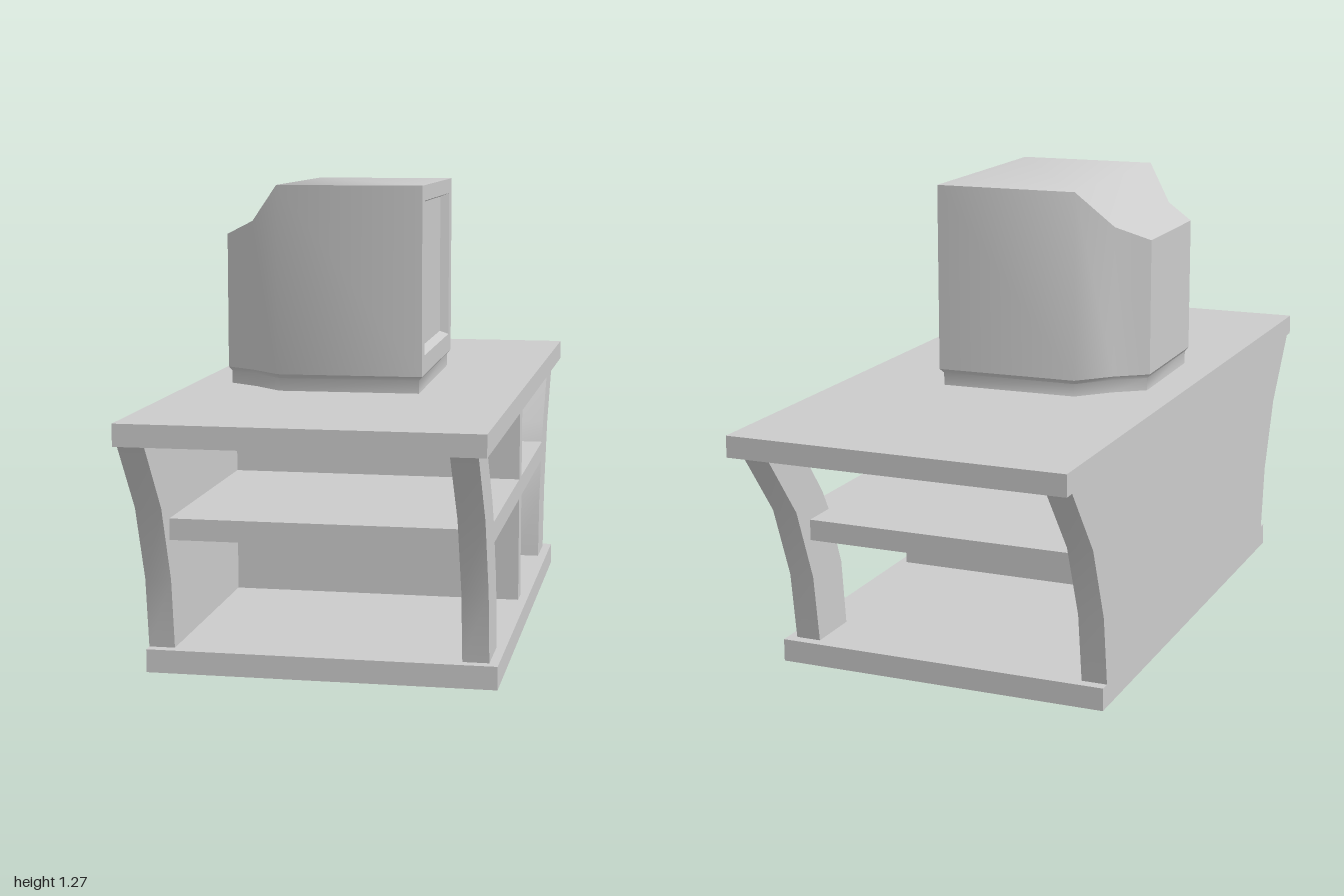
import * as THREE from 'three';
import { toCreasedNormals } from 'three/addons/utils/BufferGeometryUtils.js';

const grey = new THREE.MeshStandardMaterial({ color: 0xcccccc });

function add(parent, name, geometry) {
  const mesh = new THREE.Mesh(geometry, grey);
  mesh.name = name;
  parent.add(mesh);
  return mesh;
}

// Box given by its minimum and maximum corners
function box(parent, name, [x0, y0, z0], [x1, y1, z1]) {
  add(parent, name, new THREE.BoxGeometry(x1 - x0, y1 - y0, z1 - z0))
    .position.set((x0 + x1) / 2, (y0 + y1) / 2, (z0 + z1) / 2);
}

// Slab with a [z, y] outline, running from x0 to x1
function slab(parent, name, outline, x0, x1) {
  const shape = new THREE.Shape(outline.map(([z, y]) => new THREE.Vector2(-z, y)));
  const geo = new THREE.ExtrudeGeometry(shape, { depth: x1 - x0, bevelEnabled: false });
  geo.rotateY(Math.PI / 2).translate(x0, 0, 0);
  add(parent, name, toCreasedNormals(geo, 0.6));
}

// Skin over rings of equal point count, optionally closing the last ring
function loft(rings, capEnd, crease) {
  const n = rings[0].length;
  const index = [];
  for (let r = 0; r < rings.length - 1; r++) {
    for (let i = 0; i < n; i++) {
      const a = r * n + i, b = r * n + (i + 1) % n;
      index.push(a, a + n, b, b, a + n, b + n);
    }
  }
  if (capEnd) {
    const s = (rings.length - 1) * n;
    for (let i = 1; i < n - 1; i++) index.push(s, s + i + 1, s + i);
  }
  const geo = new THREE.BufferGeometry();
  geo.setAttribute('position', new THREE.Float32BufferAttribute(rings.flat(2), 3));
  geo.setIndex(index);
  return toCreasedNormals(geo, crease);
}

export function createModel() {
  const model = new THREE.Group();
  model.name = 'televisionOnStand';

  const stand = new THREE.Group();
  stand.name = 'stand';
  model.add(stand);
  box(stand, 'basePlate', [-0.465, 0, -0.742], [0.465, 0.062, 0.742]);
  box(stand, 'tableTop', [-0.465, 0.645, -1], [0.465, 0.703, 1]);
  box(stand, 'shelf', [-0.395, 0.36, -0.748], [0.44, 0.417, 0.748]);
  box(stand, 'lowerDivider', [-0.395, 0.062, -0.03], [0.44, 0.36, 0.03]);
  box(stand, 'upperDivider', [-0.395, 0.417, -0.03], [0.44, 0.645, 0.03]);

  // Flared back panel and the two legs sharing its outer curve
  const outer = [[0.713, 0.062], [0.74, 0.252], [0.82, 0.457], [0.965, 0.645]];
  const inner = [[0.804, 0.645], [0.676, 0.477], [0.643, 0.417], [0.622, 0.36], [0.579, 0.247], [0.558, 0.062]];
  const mirror = (pts) => pts.map(([z, y]) => [-z, y]);
  slab(stand, 'backPanel', [...outer, ...mirror(outer).reverse()], -0.465, -0.395);
  slab(stand, 'leftLeg', [...outer, ...inner], 0.37, 0.44);
  slab(stand, 'rightLeg', mirror([...outer, ...inner]), 0.37, 0.44);

  // Television, turned slightly, with its origin at the middle of the front
  const tv = new THREE.Group();
  tv.name = 'television';
  tv.position.set(0.198, 0, 0.024);
  tv.rotation.y = 0.0227;
  model.add(tv);

  // Casing: recess, bezel, then body tapering towards the back
  const ring = (x, half, y0, y1) => [[x, y0, half], [x, y0, -half], [x, y1, -half], [x, y1, half]];
  add(tv, 'casing', loft([
    ring(-0.025, 0.262, 0.813, 1.215),
    ring(0, 0.272, 0.803, 1.225),
    ring(0, 0.33, 0.75, 1.267),
    ring(-0.4, 0.33, 0.75, 1.267),
    ring(-0.485, 0.245, 0.75, 1.165),
    ring(-0.57, 0.185, 0.75, 1.125),
  ], true, 0.93));

  const screen = add(tv, 'screen', new THREE.PlaneGeometry(0.524, 0.402));
  screen.rotation.y = Math.PI / 2;
  screen.position.set(-0.025, 1.014, 0);

  // Foot: the casing's plan, drawn in a little
  const side = [[0, -0.33], [-0.4, -0.33], [-0.485, -0.245], [-0.57, -0.185]];
  const plan = [...side, ...side.map(([x, z]) => [x, -z]).reverse()];
  const planRing = (y, s) => plan.map(([x, z]) => [(x + 0.285) * s - 0.285, y, z * s]);
  add(tv, 'foot', loft([planRing(0.75, 1), planRing(0.738, 0.968), planRing(0.703, 0.968)], false, 0.93));

  return model;
}
